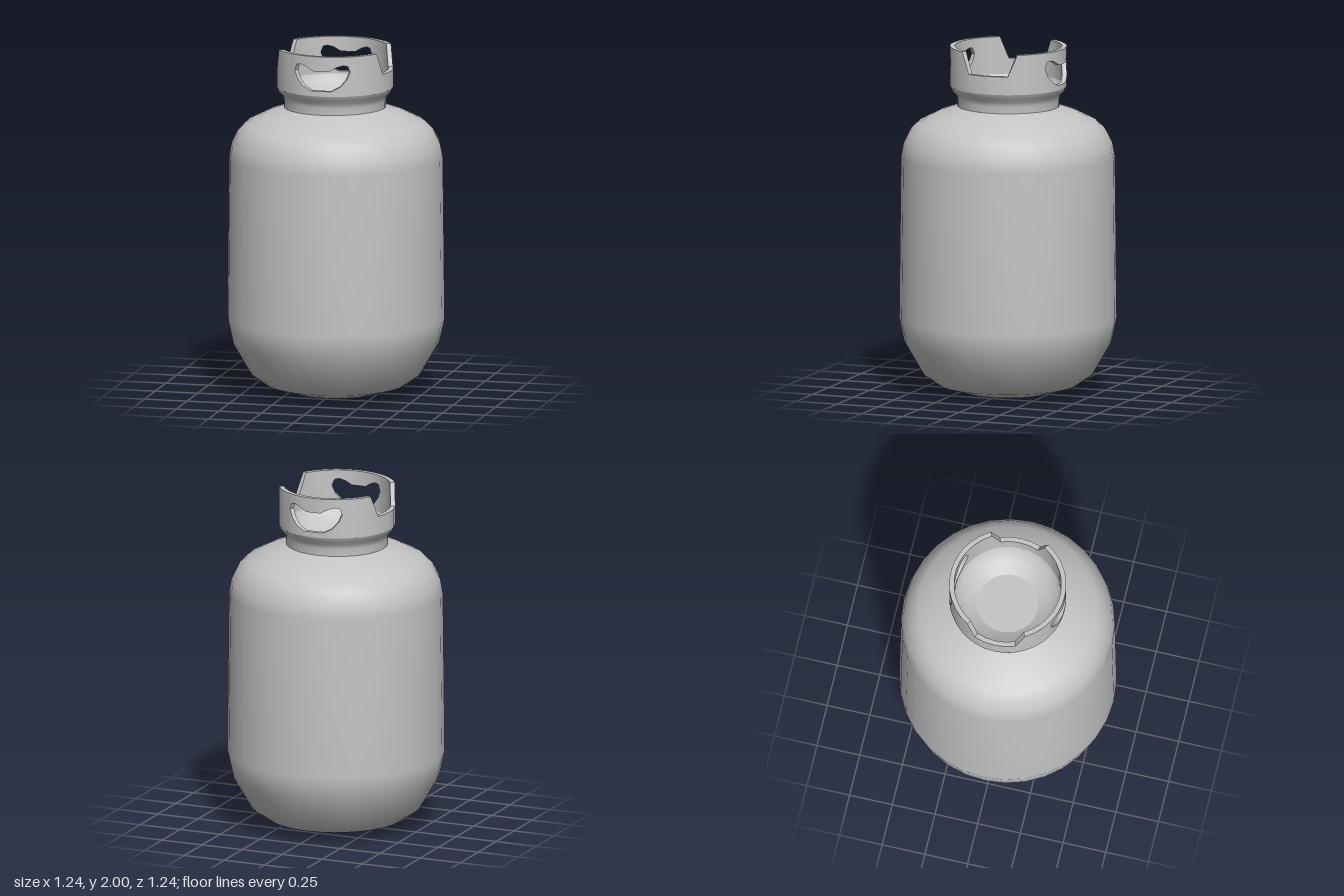
import * as THREE from 'three';
import { toCreasedNormals } from 'three/addons/utils/BufferGeometryUtils.js';

const SEGMENTS = 32;
const OUTER = 0.333, INNER = 0.305; // collar wall radii
const BASE = 1.77, NOTCH = 1.875, TOP = 2; // collar wall heights
const RAD = Math.PI / 180;

// Outlines over the distance from the middle of a handle: [x, y]
const HOLE_BOTTOM = [[0, 1.8], [0.06, 1.8], [0.11, 1.825], [0.145, 1.865], [0.163, 1.91]];
const HOLE_TOP = [[0, 1.915], [0.045, 1.915], [0.09, 1.94], [0.125, 1.95], [0.15, 1.945], [0.163, 1.91]];
// Wall top over the angle from the middle of a handle: [degrees, y]
const RIM = [[0, TOP], [59.5, TOP], [69, NOTCH], [90, NOTCH]];

function interpolate(points, t) {
  for (let i = 1; i < points.length; i++) {
    const [x0, y0] = points[i - 1], [x1, y1] = points[i];
    if (t <= x1) return y0 + (y1 - y0) * (t - x0) / (x1 - x0);
  }
  return points[points.length - 1][1];
}

const lathe = (points) => new THREE.LatheGeometry(points.map(([r, y]) => new THREE.Vector2(r, y)), SEGMENTS);

// Curved wall with a rectangular section, swept through a list of angles
function wall(angles, low, high) {
  const positions = [], index = [];
  angles.forEach((a, i) => {
    const s = Math.sin(a * RAD), c = Math.cos(a * RAD);
    const section = [[OUTER, low(a)], [OUTER, high(a)], [INNER, high(a)], [INNER, low(a)]];
    for (const [r, y] of section) positions.push(r * s, y, r * c);
    if (i === 0) return;
    for (let k = 0; k < 4; k++) {
      const p = (i - 1) * 4 + k, q = (i - 1) * 4 + (k + 1) % 4;
      index.push(p, p + 4, q, q, p + 4, q + 4);
    }
  });
  const last = (angles.length - 1) * 4;
  index.push(0, 1, 2, 0, 2, 3, last, last + 2, last + 1, last, last + 3, last + 2);
  const geometry = new THREE.BufferGeometry();
  geometry.setAttribute('position', new THREE.Float32BufferAttribute(positions, 3));
  geometry.setIndex(index);
  return toCreasedNormals(geometry, 35 * RAD);
}

export function createModel() {
  const model = new THREE.Group();
  model.name = 'gasCylinder';
  const steel = new THREE.MeshStandardMaterial({ color: 0xc4c4c4 });
  steel.name = 'grey steel';

  const add = (parent, name, geometry) => {
    const mesh = new THREE.Mesh(geometry, steel);
    mesh.name = name;
    parent.add(mesh);
    return mesh;
  };

  // Tank with rounded shoulders and a small flat base
  add(model, 'tank', lathe([
    [0, 0], [0.25, 0.005], [0.4, 0.05], [0.485, 0.11], [0.59, 0.29], [0.62, 0.43],
    [0.61, 1.36], [0.595, 1.44], [0.56, 1.51], [0.51, 1.56], [0.4, 1.615], [0.285, 1.655],
  ]));

  const collar = new THREE.Group();
  collar.name = 'collar';
  collar.position.x = -0.006;
  model.add(collar);

  // Neck flaring out to the collar, with a bowl inside it
  add(collar, 'neck', lathe([[0.29, 1.64], [0.29, 1.695], [0.3, 1.722], [0.322, 1.745], [OUTER, BASE]]));
  add(collar, 'bowl', lathe([[0.175, 1.68], [0.24, 1.71], [0.285, 1.745], [INNER, 1.785]].reverse()));
  const floor = add(collar, 'bowlFloor', new THREE.CircleGeometry(0.175, SEGMENTS));
  floor.rotation.x = -Math.PI / 2;
  floor.position.y = 1.68;

  // Angles that follow the corners of the handle hole
  const xs = [0, 0.025, 0.045, 0.06, 0.09, 0.11, 0.125, 0.145, 0.15, 0.163];
  const half = xs.map((x) => Math.asin(x / OUTER) / RAD);
  const holeAngles = [...half.slice(1).reverse().map((a) => -a), ...half];
  const edge = half[half.length - 1];
  const sideAngles = [edge, 39, 49, 59.5, 69, 79.5, 90];

  const base = () => BASE, top = () => TOP;
  const along = (points) => (a) => interpolate(points, Math.abs(OUTER * Math.sin(a * RAD)));
  const rim = (a) => interpolate(RIM, Math.abs(a));

  // Front and back halves of the collar, each with a handle hole
  for (const name of ['front', 'back']) {
    const side = new THREE.Group();
    side.name = name + 'Collar';
    if (name === 'back') side.rotation.y = Math.PI;
    collar.add(side);
    add(side, 'handleSill', wall(holeAngles, base, along(HOLE_BOTTOM)));
    add(side, 'handleGrip', wall(holeAngles, along(HOLE_TOP), top));
    add(side, 'leftWall', wall(sideAngles, base, rim));
    add(side, 'rightWall', wall(sideAngles.map((a) => -a).reverse(), base, rim));
  }
  return model;
}
